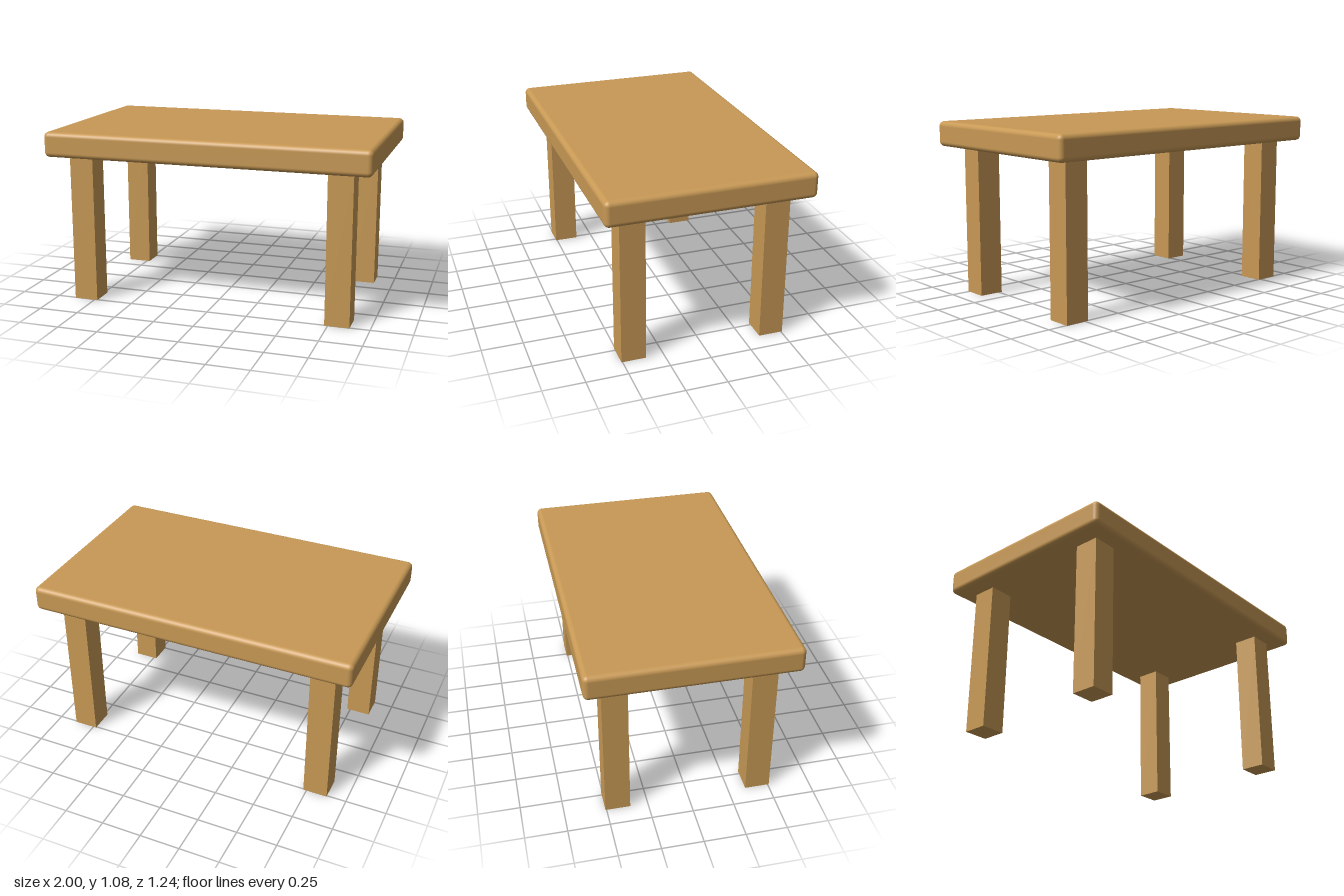
import * as THREE from 'three';
import { RoundedBoxGeometry } from 'three/addons/geometries/RoundedBoxGeometry.js';

export function createModel() {
  const table = new THREE.Group();
  table.name = 'table';
  const wood = new THREE.MeshStandardMaterial({ color: 0xc89955 });

  // Thick top with softly rounded edges
  const legHeight = 0.923, topThickness = 0.154;
  const top = new THREE.Mesh(new RoundedBoxGeometry(2, topThickness, 1.235, 5, 0.03), wood);
  top.name = 'tableTop';
  top.position.y = legHeight + topThickness / 2;
  table.add(top);

  // Four square legs, mirrored across both axes
  const legGeometry = new THREE.BoxGeometry(0.15, legHeight, 0.15);
  for (const [zName, z] of [['front', 0.432], ['back', -0.432]]) {
    for (const [xName, x] of [['Left', 0.805], ['Right', -0.805]]) {
      const leg = new THREE.Mesh(legGeometry, wood);
      leg.name = `${zName}${xName}Leg`;
      leg.position.set(x, legHeight / 2, z);
      table.add(leg);
    }
  }
  return table;
}
